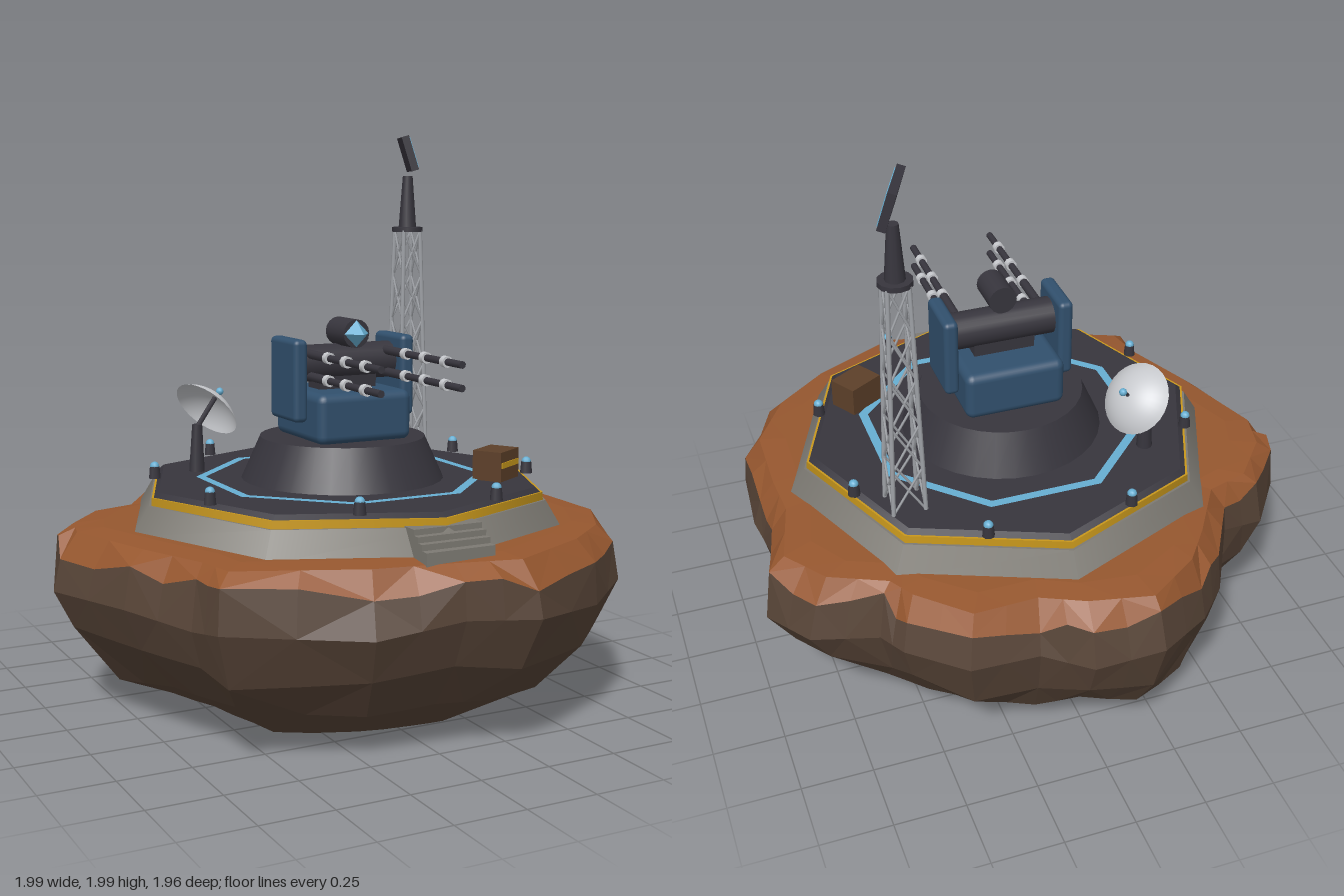
import * as THREE from 'three';
import { RoundedBoxGeometry } from 'three/addons/geometries/RoundedBoxGeometry.js';

const paint = (name, color, side = THREE.FrontSide) => {
  const m = new THREE.MeshStandardMaterial({ color, side });
  m.name = name;
  return m;
};
const V = (x, y, z) => new THREE.Vector3(x, y, z);

// Faceted copy of a geometry
function facet(geo) {
  const g = geo.index ? geo.toNonIndexed() : geo;
  g.computeVertexNormals();
  return g;
}

export function createModel() {
  const rust = paint('rust soil', 0x96572f);
  const stone = paint('brown rock', 0x574437);
  const concrete = paint('concrete', 0x7d7a73);
  const yellow = paint('warning yellow', 0xc9981c);
  const dark = paint('dark metal', 0x37353d);
  const blue = paint('blue armour', 0x31506d);
  const glow = paint('light blue', 0x66aed2);
  const pale = paint('pale grey', 0xc8cace, THREE.DoubleSide);
  const steel = paint('steel', 0xa2a5aa);
  const wood = paint('crate brown', 0x5d4029);

  const model = new THREE.Group();
  const CX = 0.03, CZ = 0.01, DECK = 0.78;

  const add = (parent, name, geo, mat, x = 0, y = 0, z = 0) => {
    const m = new THREE.Mesh(geo, mat);
    m.name = name;
    m.position.set(x, y, z);
    parent.add(m);
    return m;
  };
  const group = (name, x = 0, y = 0, z = 0, parent = model) => {
    const g = new THREE.Group();
    g.name = name;
    g.position.set(x, y, z);
    parent.add(g);
    return g;
  };
  // Round bar between two points
  const strut = (parent, name, a, b, r, mat, r2 = r, sides = 6) => {
    const m = add(parent, name, new THREE.CylinderGeometry(r2, r, a.distanceTo(b), sides), mat);
    m.position.copy(a).lerp(b, 0.5);
    m.quaternion.setFromUnitVectors(V(0, 1, 0), b.clone().sub(a).normalize());
    return m;
  };

  // Rock: plan outline scaled through stacked rows, rounder towards the bottom; upper rows are rust
  const outline = [[-1, -0.13], [-0.95, -0.28], [-0.81, -0.455], [-0.655, -0.51], [-0.52, -0.73], [-0.41, -0.87],
    [-0.195, -0.99], [0.04, -0.96], [0.2, -0.88], [0.44, -0.88], [0.62, -0.72], [0.67, -0.615], [0.885, -0.52],
    [0.99, -0.35], [0.93, -0.08], [0.94, 0.1], [0.93, 0.4], [0.8, 0.64], [0.59, 0.8], [0.24, 0.97], [0, 0.91],
    [-0.29, 0.855], [-0.735, 0.67], [-0.755, 0.51], [-0.87, 0.24]];
  // Each row: height, scale, roundness, swelling of the rear lobe
  const rows = [[0, 0, 1, 0], [0.005, 0.38, 0.9, 0], [0.045, 0.61, 0.7, 0.13], [0.14, 0.81, 0.4, 0.13],
    [0.29, 0.94, 0.15, 0.03], [0.45, 1, 0, 0], [0.58, 0.975, 0, 0], [0.645, 0.92, 0, 0],
    [0.655, 0.82, 0, 0], [0.655, 0, 0, 0]];
  const noise = (i, j) => {
    const s = Math.sin(i * 127.1 + j * 311.7) * 43758.5453;
    return (s - Math.floor(s)) * 2 - 1;
  };
  const mix = THREE.MathUtils.lerp;
  const n = outline.length, cols = n * 2;
  const rockPoint = (i, jj) => {
    const j = jj % cols, k = j >> 1, k2 = (k + 1) % n, t = j % 2 ? 0.5 : 0;
    const bump = (seed) => mix(noise(seed, k), noise(seed, k2), t);
    const x = mix(outline[k][0], outline[k2][0], t), z = mix(outline[k][1], outline[k2][1], t);
    const [y, s, round, swell] = rows[i];
    const rim = i > 1 && i < 8, r = Math.hypot(x, z);
    const lobe = 1 + swell * Math.max(0, (-0.35 * x - 0.94 * z) / r) ** 5;
    const f = s * lobe * mix(1, 0.9 / r, round) * (rim ? 1 + (bump(i) - 0.5) * 0.014 : 1);
    const lift = i === 6 ? noise(9, j) * 0.045 : rim && i < 6 ? bump(i + 20) * 0.03 : 0;
    return [x * f, y + lift, z * f];
  };
  const rockPart = (from, to) => {
    const pos = [];
    for (let i = from; i < to; i++) for (let j = 0; j < cols; j++) {
      const a = rockPoint(i, j), b = rockPoint(i, j + 1), c = rockPoint(i + 1, j + 1), d = rockPoint(i + 1, j);
      if ((i + j) % 2) pos.push(...b, ...a, ...d, ...b, ...d, ...c);
      else pos.push(...b, ...a, ...c, ...a, ...d, ...c);
    }
    const g = new THREE.BufferGeometry();
    g.setAttribute('position', new THREE.Float32BufferAttribute(pos, 3));
    return facet(g);
  };
  const rock = group('rock');
  add(rock, 'rockBody', rockPart(0, 6), stone);
  add(rock, 'rustTop', rockPart(6, 9), rust);

  // Eight-sided landing pad
  const pad = group('pad', CX, 0, CZ);
  const octagon = (name, bottomR, topR, y0, y1, mat) =>
    add(pad, name, new THREE.CylinderGeometry(topR, bottomR, y1 - y0, 8), mat, 0, (y0 + y1) / 2, 0);
  octagon('foundation', 0.79, 0.73, 0.64, 0.738, concrete);
  octagon('warningBand', 0.721, 0.719, 0.736, 0.765, yellow);
  octagon('deck', 0.715, 0.692, 0.762, DECK, dark);
  const ring = new THREE.RingGeometry(0.484, 0.518, 8, 1, Math.PI / 8);
  add(pad, 'deckStripe', ring.rotateX(-Math.PI / 2), glow, 0, DECK + 0.003, 0);

  // Entrance steps
  const steps = group('steps', CX, 0, 0);
  [[0.82, 0.684], [0.79, 0.704], [0.765, 0.723], [0.74, 0.742]].forEach(([z, y]) =>
    add(steps, 'step', new THREE.BoxGeometry(0.25, y - 0.62, z - 0.64), concrete, 0, (y + 0.62) / 2, (z + 0.64) / 2));

  // Perimeter lamps
  for (let i = 0; i < 8; i++) {
    const a = (i + 0.5) * Math.PI / 4;
    const lamp = group('lamp', Math.sin(a) * 0.663, DECK, Math.cos(a) * 0.663, pad);
    add(lamp, 'lampPost', new THREE.CylinderGeometry(0.018, 0.022, 0.042, 8), dark, 0, 0.021, 0);
    add(lamp, 'lampBulb', new THREE.SphereGeometry(0.017, 10, 8), glow, 0, 0.042, 0);
  }

  // Turret
  const turret = group('turret', CX, -0.008, CZ);
  add(turret, 'turretBase', new THREE.CylinderGeometry(0.292, 0.36, 0.152, 32), dark, 0, 0.86, 0);
  add(turret, 'turretBody', new RoundedBoxGeometry(0.36, 0.175, 0.36, 3, 0.03), blue, 0, 1.02, 0.005);
  const drum = new THREE.CylinderGeometry(0.065, 0.065, 0.38, 20).rotateZ(Math.PI / 2);
  add(turret, 'gunDrum', drum, dark, 0, 1.197, 0);
  add(turret, 'drumMount', new THREE.BoxGeometry(0.22, 0.08, 0.09), dark, 0, 1.13, 0);
  for (const s of [-1, 1]) {
    add(turret, 'sidePlate', new RoundedBoxGeometry(0.052, 0.285, 0.205, 3, 0.018), blue, s * 0.208, 1.147, 0);
    for (const y of [1.234, 1.157]) {
      const gun = group('gun', s * 0.15, y, 0, turret);
      strut(gun, 'barrel', V(0, 0, 0), V(0, 0, 0.56), 0.0125, dark, 0.0125, 10);
      strut(gun, 'barrelSleeve', V(0, 0, 0.03), V(0, 0, 0.19), 0.016, dark, 0.016, 10);
      for (const z of [0.19, 0.32, 0.455])
        strut(gun, 'collar', V(0, 0, z - 0.012), V(0, 0, z + 0.012), 0.02, pale, 0.02, 10);
    }
  }
  strut(turret, 'sightHousing', V(0, 1.303, -0.03), V(0, 1.303, 0.107), 0.05, dark, 0.05, 16);
  const lens = new THREE.ConeGeometry(0.047, 0.055, 4).rotateX(Math.PI / 2);
  add(turret, 'sightLens', facet(lens), glow, 0, 1.303, 0.134);

  // Lattice tower
  const tower = group('tower', 0.492, 0, -0.345);
  const corner = (i, t) => {
    const h = mix(0.056, 0.035, t), k = i % 4;
    return V(k === 0 || k === 3 ? h : -h, DECK + t * 0.85, k < 2 ? h : -h);
  };
  const bays = 5;
  for (let i = 0; i < 4; i++) {
    strut(tower, 'towerLeg', corner(i, 0), corner(i, 1), 0.008, steel);
    for (let b = 0; b < bays; b++) {
      const t0 = b / bays, t1 = (b + 1) / bays;
      strut(tower, 'brace', corner(i, t0), corner(i + 1, t1), 0.0045, steel, 0.0045, 5);
      strut(tower, 'brace', corner(i + 1, t0), corner(i, t1), 0.0045, steel, 0.0045, 5);
    }
  }
  add(tower, 'towerCap', new THREE.CylinderGeometry(0.058, 0.058, 0.018, 12), dark, 0, 1.634, 0);
  add(tower, 'mastHead', new THREE.CylinderGeometry(0.019, 0.034, 0.192, 10), dark, 0, 1.738, 0);

  // Tilted panel with four cells
  const panel = group('solarPanel', 0, 1.918, 0, tower);
  panel.rotation.set(-0.3, 1.15, 0, 'YXZ');
  add(panel, 'panelFrame', new THREE.BoxGeometry(0.195, 0.132, 0.028), dark);
  for (let i = 0; i < 4; i++)
    add(panel, 'panelCell', new THREE.BoxGeometry(0.036, 0.114, 0.005), glow, (i - 1.5) * 0.046, 0, 0.0145);

  // Dish antenna: a dome facing up and sideways, carried on a rod from its post
  const dish = group('dishAntenna');
  const aim = V(0.7, 0.63, -0.3).normalize();
  const apex = V(-0.309, 1.037, -0.342);
  const postTop = V(-0.395, 0.95, -0.305);
  strut(dish, 'dishPost', V(-0.398, DECK, -0.305), postTop, 0.028, dark, 0.018, 10);
  strut(dish, 'dishMount', V(-0.395, 0.94, -0.305), apex, 0.009, dark);
  const profile = [];
  for (let i = 0; i <= 10; i++) {
    const a = (i / 10) * 0.86;
    profile.push(new THREE.Vector2(0.168 * Math.sin(a), 0.168 * (Math.cos(a) - 1)));
  }
  const bowl = add(dish, 'dishBowl', new THREE.LatheGeometry(profile.reverse(), 28), pale, apex.x, apex.y, apex.z);
  bowl.quaternion.setFromUnitVectors(V(0, 1, 0), aim);
  const feed = apex.clone().addScaledVector(aim, 0.032);
  strut(dish, 'feedRod', apex, feed, 0.005, dark);
  add(dish, 'feedTip', new THREE.SphereGeometry(0.014, 10, 8), glow, feed.x, feed.y, feed.z);

  // Supply crate
  const crate = group('crate', 0.492, DECK, 0.295);
  crate.rotation.y = 0.54;
  add(crate, 'crateBox', new THREE.BoxGeometry(0.14, 0.104, 0.11), wood, 0, 0.052, 0);
  add(crate, 'crateStripe', new THREE.BoxGeometry(0.13, 0.02, 0.005), yellow, 0, 0.057, 0.056);

  return model;
}
